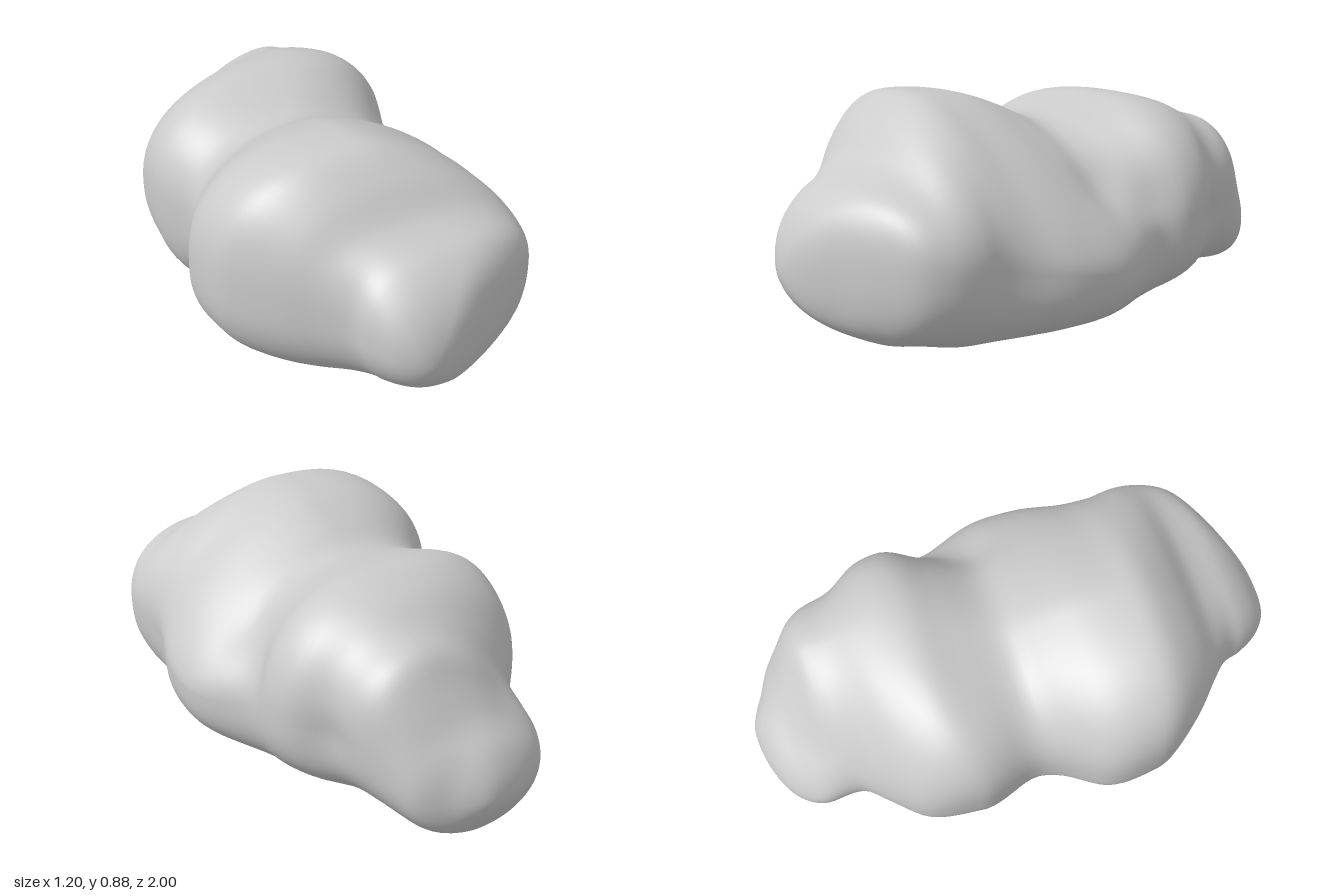
import * as THREE from 'three';
import { mergeVertices } from 'three/addons/utils/BufferGeometryUtils.js';

// Outline curves of the rock as [z, value], running from front to back
const X_MIN = [[1, -.1], [.94, -.22], [.85, -.27], [.78, -.29], [.7, -.36], [.6, -.46], [.45, -.57], [.37, -.595],
  [.2, -.59], [.05, -.49], [-.05, -.46], [-.2, -.5], [-.27, -.51], [-.47, -.47], [-.6, -.35], [-.67, -.285], [-.82, -.27], [-.9, -.22], [-.95, -.15], [-1, .07]];
const X_MAX = [[1, -.1], [.94, .13], [.87, .3], [.8, .42], [.7, .485], [.6, .505], [.5, .505], [.4, .53], [.25, .58],
  [.1, .6], [0, .585], [-.2, .51], [-.33, .53], [-.45, .51], [-.57, .43], [-.7, .4], [-.8, .36], [-.88, .31], [-.94, .21], [-1, .07]];
const Y_MIN = [[1, .34], [.95, .2], [.8, .11], [.7, .09], [.5, .04], [0, .04], [-.2, .005], [-.3, .03], [-.5, .055], [-.7, .06],
  [-.85, .04], [-.92, .06], [-.97, .13], [-1, .22]];
const Y_MAX = [[1, .34], [.94, .54], [.85, .63], [.7, .7], [.6, .8], [.5, .87], [.43, .885], [.25, .86], [.1, .8], [0, .75],
  [-.07, .745], [-.2, .775], [-.34, .805], [-.5, .77], [-.62, .71], [-.74, .66], [-.8, .57], [-.87, .46], [-.95, .37], [-1, .22]];
// Where on each section the highest, lowest and widest points lie
const X_TOP = [[1, -.1], [.85, .05], [.7, 0], [.45, -.06], [.2, -.04], [0, -.02], [-.35, .06], [-.6, .15], [-.78, .17], [-.9, .06], [-1, .07]];
const X_BOT = [[1, -.1], [.8, .08], [.4, .05], [0, 0], [-.2, -.15], [-.6, 0], [-1, .07]];
const Y_LEFT = [[1, .34], [.8, .4], [.35, .43], [0, .4], [-.3, .4], [-.7, .31], [-.9, .23], [-1, .22]];
const Y_RIGHT = [[1, .34], [.8, .4], [.5, .4], [.1, .34], [-.1, .34], [-.35, .4], [-.65, .38], [-.9, .23], [-1, .22]];
// Squareness of the four corners of each section (2 is round)
const UPPER_POS = [[1, 2], [.8, 2.5], [.6, 1.9], [.35, 1.5], [0, 1.5], [-.3, 2.1], [-.65, 2.1], [-1, 2]];
const UPPER_NEG = [[1, 2.2], [.8, 2.9], [.4, 2.8], [0, 2.4], [-.3, 2.5], [-.6, 1.9], [-.8, 1.6], [-1, 2]];
const LOWER_POS = [[1, 2], [.75, 2.4], [.1, 2.9], [-.3, 2.9], [-.7, 2.4], [-1, 2]];
const LOWER_NEG = [[1, 2], [.75, 2.3], [.3, 2.6], [-.2, 2.7], [-.7, 2.2], [-1, 2]];

// Local swells (+) and hollows (-): x, y, z, radius, height
const LUMPS = [
  [.42, .58, -.04, .13, -.03], [.5, .5, -.17, .1, -.02], [.42, .35, -.53, .1, -.02],
  [.32, .52, -.66, .13, .025], [.3, .63, -.36, .16, .02], [.5, .35, .45, .14, -.015],
  [-.15, .5, -.8, .14, -.02], [-.32, .62, -.26, .16, .02],
];

// Smooth interpolation by angle, so the end caps come out round
function sample(keys, phi) {
  const a = keys.map(k => Math.acos(k[0])), n = keys.length;
  let i = 0;
  while (i < n - 2 && phi > a[i + 1]) i++;
  const slope = k => {
    const p = Math.max(k - 1, 0), q = Math.min(k + 1, n - 1);
    return (keys[q][1] - keys[p][1]) / (a[q] - a[p]);
  };
  const h = a[i + 1] - a[i], t = (phi - a[i]) / h, t2 = t * t, t3 = t2 * t;
  return keys[i][1] * (2 * t3 - 3 * t2 + 1) + keys[i + 1][1] * (3 * t2 - 2 * t3)
    + h * (slope(i) * (t3 - 2 * t2 + t) + slope(i + 1) * (t3 - t2));
}

function rockGeometry(rings = 110, sides = 96) {
  const curves = [X_MIN, X_MAX, Y_MIN, Y_MAX, X_TOP, X_BOT, Y_LEFT, Y_RIGHT, UPPER_POS, UPPER_NEG, LOWER_POS, LOWER_NEG];
  const pos = [], index = [];
  for (let i = 0; i <= rings; i++) {
    const phi = Math.PI * i / rings, z = Math.cos(phi);
    const [x0, x1, y0, y1, xt, xb, yl, yr, up, un, lp, ln] = curves.map(k => sample(k, phi));
    for (let j = 0; j < sides; j++) {
      // Four superellipse arcs, each with its own squareness
      const u = 2 * Math.PI * j / sides, c = Math.cos(u), s = Math.sin(u);
      const e = s >= 0 ? (c >= 0 ? up : un) : (c >= 0 ? lp : ln);
      const r = Math.pow(Math.abs(c) ** e + Math.abs(s) ** e, -1 / e);
      const cx = s >= 0 ? xt : xb, cy = c >= 0 ? yr : yl;
      const x = cx + r * c * (c >= 0 ? x1 - cx : cx - x0);
      const y = cy + r * s * (s >= 0 ? y1 - cy : cy - y0);
      // Push out or in around the lumps
      let d = 0;
      for (const [lx, ly, lz, rad, height] of LUMPS)
        d += height * Math.exp(-((x - lx) ** 2 + (y - ly) ** 2 + (z - lz) ** 2) / (rad * rad));
      pos.push(x + d * c, Math.max(y + d * s, 0), z);
      if (i < rings) {
        const k = (j + 1) % sides, a = i * sides + j, b = i * sides + k;
        if (i < rings - 1) index.push(a + sides, b + sides, b);
        if (i > 0) index.push(a, a + sides, b);
      }
    }
  }
  const geo = new THREE.BufferGeometry();
  geo.setAttribute('position', new THREE.Float32BufferAttribute(pos, 3));
  geo.setIndex(index);
  const merged = mergeVertices(geo, 1e-5);
  merged.computeVertexNormals();
  return merged;
}

export function createModel() {
  const group = new THREE.Group();
  group.name = 'boulder';
  const rock = new THREE.Mesh(rockGeometry(), new THREE.MeshStandardMaterial({ color: 0xcccccc }));
  rock.name = 'rock';
  group.add(rock);
  return group;
}
